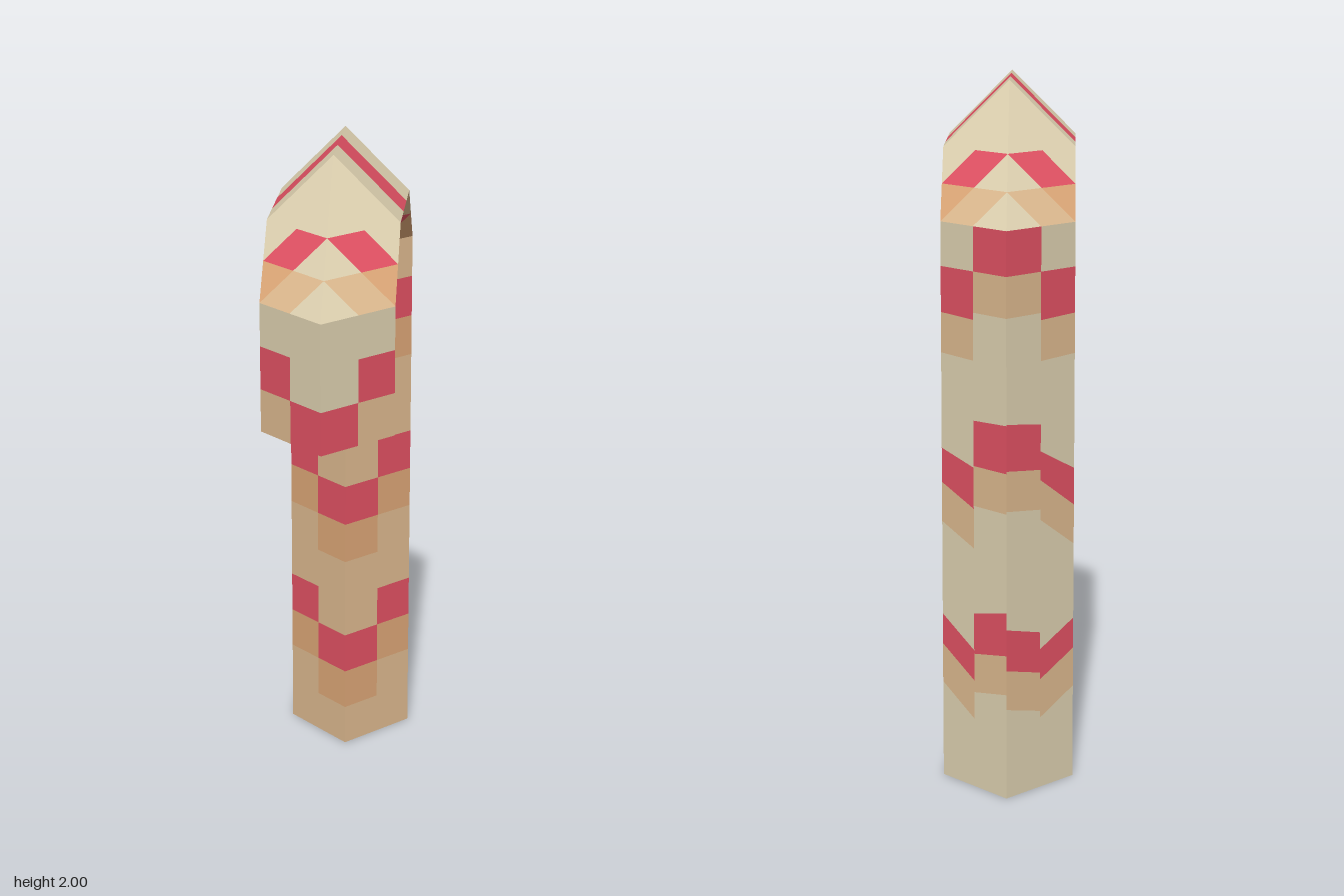
import * as THREE from 'three';

// Diamond-section cane. Every facet patch is a polygon in the side profile (z, y);
// x follows from the plane of the facet it lies on, then it is mirrored to -x.
const R = 0.1875, H = R / 2;
const planes = {
  legOuter: (z) => 3 * R - Math.abs(z),
  legInner: (z) => Math.abs(z) - R,
  bendOuter: (z, y) => 2.1875 - Math.abs(z) - y,
  bendInner: (z, y) => Math.abs(z) + y - 1.8125,
  barOuter: (z, y) => 2 - y,
  barInner: (z, y) => y - 1.625,
};

const materials = {};
for (const [name, color] of Object.entries({
  cream: 0xe0d3b2, tan: 0xdfbb90, orange: 0xdea878, red: 0xe35264,
})) {
  materials[name] = new THREE.MeshStandardMaterial({ color });
  materials[name].name = name;
}

// Collects flat convex patches and turns them into one mesh per colour
class Part {
  constructor(name) {
    this.name = name;
    this.tris = {};
  }
  fan(color, pts) {
    const out = (this.tris[color] ??= []);
    for (let i = 1; i < pts.length - 1; i++) out.push(...pts[0], ...pts[i], ...pts[i + 1]);
  }
  patch(color, plane, poly, sides = [1, -1]) {
    let area = 0;
    poly.forEach(([z, y], i) => {
      const [z2, y2] = poly[(i + 1) % poly.length];
      area += z2 * y - z * y2;
    });
    const ccw = area > 0 ? poly : [...poly].reverse();
    for (const s of sides) {
      const pts = ccw.map(([z, y]) => [s * planes[plane](z, y), y, z]);
      this.fan(color, s > 0 ? pts : pts.reverse());
    }
  }
  // Vertical strip between za and zb; rows are [colour, topAtA, topAtB] from the bottom up
  column(plane, za, zb, bottom, rows, sides) {
    let a = bottom, b = bottom;
    for (const [color, ta, tb = ta] of rows) {
      this.patch(color, plane, [[za, a], [zb, b], [zb, tb], [za, ta]], sides);
      a = ta;
      b = tb;
    }
  }
  // Downward-facing diamond cap
  cap(color, y, z) {
    this.fan(color, [[R, y, z], [0, y, z + R], [-R, y, z], [0, y, z - R]]);
  }
  build() {
    const group = new THREE.Group();
    group.name = this.name;
    for (const [color, data] of Object.entries(this.tris)) {
      const g = new THREE.BufferGeometry();
      g.setAttribute('position', new THREE.Float32BufferAttribute(data, 3));
      g.computeVertexNormals();
      const mesh = new THREE.Mesh(g, materials[color]);
      mesh.name = `${this.name} ${color}`;
      group.add(mesh);
    }
    return group;
  }
}

function makePost() {
  const p = new Part('post');
  // Inner faces: stepped stripes every half unit
  const steps = (shift) => {
    const rows = [];
    for (let i = 0; i < 3; i++) {
      const y = shift + i * 0.5;
      rows.push(['tan', y], ['orange', y + 0.125], ['red', y + 0.25]);
    }
    return [...rows, ['tan', 1.625]];
  };
  p.column('legInner', -R, -R - H, 0, steps(0.125));
  p.column('legInner', -R - H, -2 * R, 0, steps(0.25));

  // Outer faces: slanted stripes, each [bottomA, bottomB, topA, topB]
  const slanted = (bands) => {
    const rows = [];
    for (const [ba, bb, ta, tb] of bands) {
      rows.push(['cream', ba - 0.115, bb - 0.115], ['tan', ba, bb], ['red', ta, tb]);
    }
    if (bands.at(-1)[2] < 1.6) rows.push(['cream', 1.625]);
    return rows;
  };
  const mid = (bands, s) => p.column('legOuter', -2 * R, -2 * R - H, 0, slanted(bands), [s]);
  const back = (bands, s) => p.column('legOuter', -2 * R - H, -3 * R, 0, slanted(bands), [s]);
  mid([[0.4, 0.32, 0.49, 0.41], [0.88, 0.826, 0.98, 0.945], [1.37, 1.365, 1.5, 1.5]], 1);
  mid([[0.39, 0.325, 0.48, 0.415], [0.816, 0.91, 0.923, 0.993], [1.37, 1.365, 1.5, 1.5]], -1);
  back([[0.4, 0.424, 0.52, 0.55], [0.95, 0.95, 1.08, 1.086], [1.5, 1.5, 1.625, 1.625]], 1);
  back([[0.345, 0.38, 0.465, 0.5], [0.94, 0.957, 1.07, 1.09], [1.5, 1.5, 1.625, 1.625]], -1);
  p.cap('cream', 0, -2 * R);
  return p.build();
}

function makeHook() {
  const p = new Part('hook');
  p.column('legInner', R, R + H, 1.25, [['tan', 1.375], ['orange', 1.5], ['red', 1.625]]);
  p.column('legInner', R + H, 2 * R, 1.25, [['orange', 1.375], ['red', 1.5], ['tan', 1.625]]);
  p.column('legOuter', 2 * R, 2 * R + H, 1.25, [['tan', 1.375], ['red', 1.5], ['cream', 1.625]]);
  p.column('legOuter', 2 * R + H, 3 * R, 1.25, [['red', 1.375], ['cream', 1.625]]);
  p.cap('tan', 1.25, 2 * R);
  return p.build();
}

// Mitred bend; dir = 1 at the front, -1 at the back
function makeBend(name, dir) {
  const p = new Part(name);
  const Y = 1.625;
  // Points in units of half the radius, measured from the inner corner
  const add = (color, plane, pts) =>
    p.patch(color, plane, pts.map(([a, b]) => [dir * (R + a * H), Y + b * H]));
  add('cream', 'bendOuter', [[0, 2], [1, 1], [1, 2], [2, 2], [0, 4]]);
  add('red', 'bendOuter', [[1, 1], [2, 1], [2, 2], [1, 2]]);
  add('orange', 'bendOuter', [[1, 1], [2, 0], [2, 1]]);
  add('tan', 'bendOuter', [[2, 0], [3, 0], [3, 1], [2, 1]]);
  add('cream', 'bendOuter', [[2, 1], [3, 1], [2, 2]]);
  add('cream', 'bendOuter', [[3, 0], [4, 0], [3, 1]]);
  add('red', 'bendInner', [[0, 0], [1, 0], [1, 1], [0, 1]]);
  add('orange', 'bendInner', [[1, 0], [2, 0], [1, 1]]);
  add('tan', 'bendInner', [[0, 1], [1, 1], [0, 2]]);
  return p.build();
}

function makeTopBar() {
  const p = new Part('topBar');
  const S = 0.0625;
  for (const [plane, base, y0, y1] of [['barOuter', 'cream', 1.8125, 2], ['barInner', 'tan', 1.625, 1.8125]]) {
    p.column(plane, -R, -S, y0, [[base, y1]]);
    p.column(plane, -S, S, y0, [['red', y1]]);
    p.column(plane, S, R, y0, [[base, y1]]);
  }
  return p.build();
}

export function createModel() {
  const model = new THREE.Group();
  model.name = 'candyCane';
  model.add(makePost(), makeHook(), makeBend('frontBend', 1), makeBend('backBend', -1), makeTopBar());
  return model;
}
